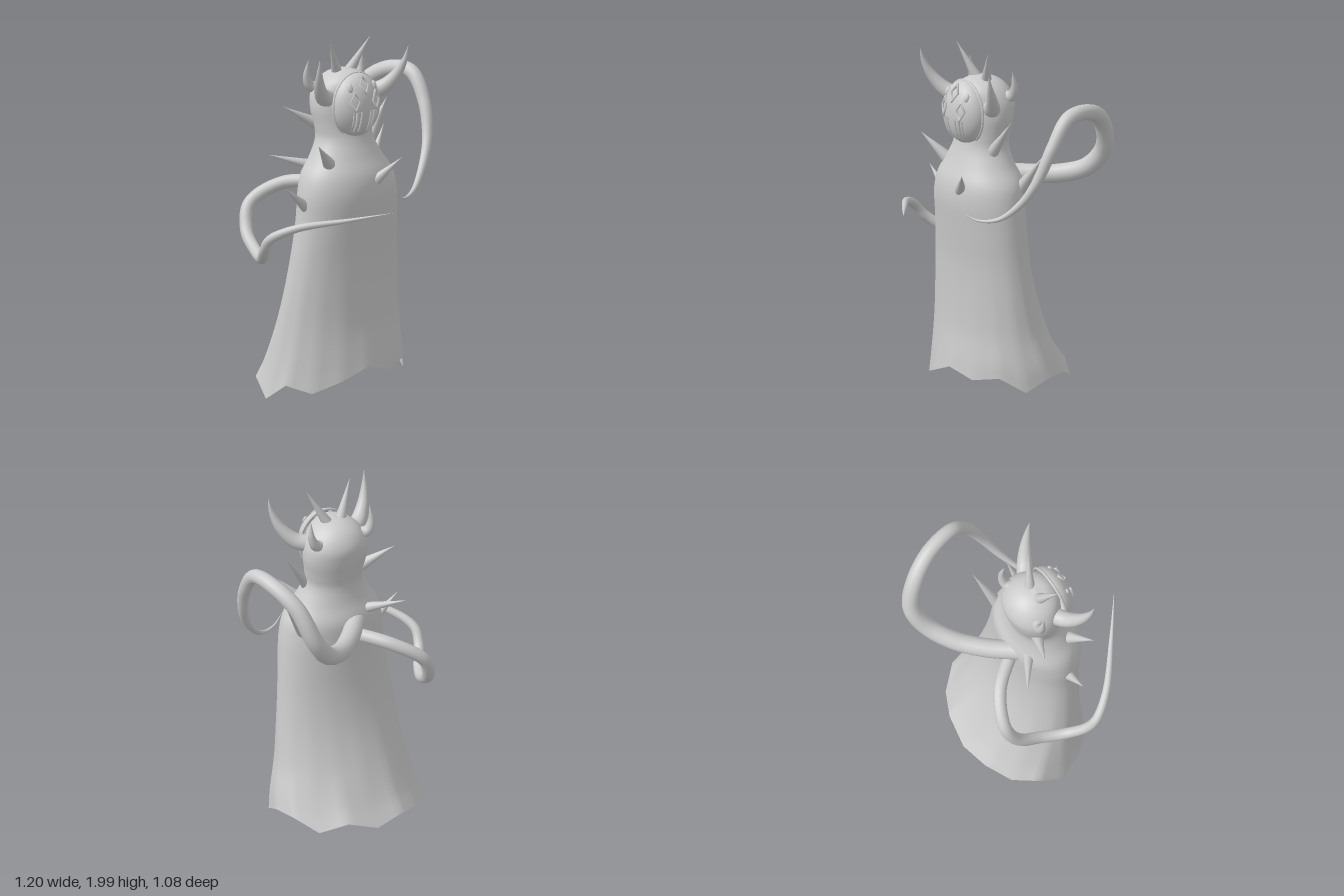
import * as THREE from 'three';

const material = new THREE.MeshStandardMaterial({ color: 0xcccccc, side: THREE.DoubleSide });
const V = (p) => new THREE.Vector3(...p);

function add(parent, geometry, name) {
  const mesh = new THREE.Mesh(geometry, material);
  mesh.name = name;
  parent.add(mesh);
  return mesh;
}

// Tube along a curve whose radius shrinks to a point: r = radius * (1 - t^power)
function taperedTube(points, radius, power, rings, sides = 16) {
  const curve = new THREE.CatmullRomCurve3(points.map(V));
  const geo = new THREE.TubeGeometry(curve, rings, 1, sides);
  const pos = geo.attributes.position, v = new THREE.Vector3();
  for (let i = 0; i <= rings; i++) {
    const t = i / rings, c = curve.getPointAt(t);
    const r = Math.max(radius * (1 - t ** power), 0.0005);
    for (let j = 0; j <= sides; j++) {
      const k = i * (sides + 1) + j;
      v.fromBufferAttribute(pos, k).sub(c).multiplyScalar(r).add(c);
      pos.setXYZ(k, v.x, v.y, v.z);
    }
  }
  return geo;
}

// Robe, neck and head as one skin of elliptical sections: y, left x, right x, back z, front z
const SECTIONS = [
  [0.10, -0.47, 0.415, -0.45, 0.245], [0.20, -0.445, 0.40, -0.385, 0.235],
  [0.40, -0.41, 0.36, -0.29, 0.215], [0.60, -0.385, 0.335, -0.22, 0.21],
  [0.80, -0.36, 0.315, -0.18, 0.215], [1.00, -0.335, 0.30, -0.165, 0.235],
  [1.15, -0.325, 0.285, -0.165, 0.25], [1.25, -0.30, 0.26, -0.163, 0.24],
  [1.35, -0.24, 0.19, -0.13, 0.20], [1.45, -0.195, 0.14, -0.115, 0.165],
  [1.52, -0.20, 0.145, -0.125, 0.155], [1.62, -0.215, 0.16, -0.145, 0.155],
  [1.70, -0.205, 0.15, -0.15, 0.155], [1.77, -0.165, 0.11, -0.115, 0.15],
  [1.815, -0.10, 0.045, -0.05, 0.105], [1.83, -0.03, -0.03, 0.03, 0.03],
];
// Heights of the ragged hem corners, starting at the front and going towards +x
const HEM = [0.19, 0.15, 0.18, 0.10, 0.17, 0.17, 0.10, 0.15, 0.09, 0.12, 0.09, 0.11, 0.01, 0.10, 0.06, 0.12];

function bodyGeometry() {
  const size = new THREE.CatmullRomCurve3(SECTIONS.map(([y, l, r, b, f]) => V([(r - l) / 2, y, (f - b) / 2])));
  const centre = new THREE.CatmullRomCurve3(SECTIONS.map(([y, l, r, b, f]) => V([(r + l) / 2, y, (f + b) / 2])));
  const rows = 75, cols = 64, step = Math.PI / 8, pos = [], index = [];
  for (let i = 0; i <= rows; i++) {
    const s = size.getPoint(i / rows), c = centre.getPoint(i / rows);
    const ragged = Math.max(0, 1 - (s.y - 0.1) / 0.3);
    const faceted = Math.max(0, 1 - (s.y - 0.1) / 0.9);
    for (let j = 0; j < cols; j++) {
      const a = (j / cols) * Math.PI * 2, k = Math.floor(j / 4), f = (j % 4) / 4;
      const hem = THREE.MathUtils.lerp(HEM[k], HEM[(k + 1) % 16], f);
      // sixteen flat sides at the hem, round further up
      const chord = Math.cos(step / 2) / Math.cos(f * step - step / 2);
      const m = THREE.MathUtils.lerp(1, chord, faceted);
      pos.push(c.x + s.x * m * Math.sin(a), s.y + (hem - 0.1) * ragged, c.z + s.z * m * Math.cos(a));
      if (i < rows) {
        const p = i * cols + j, q = i * cols + ((j + 1) % cols);
        index.push(p, q, q + cols, p, q + cols, p + cols);
      }
    }
  }
  const geo = new THREE.BufferGeometry();
  geo.setAttribute('position', new THREE.Float32BufferAttribute(pos, 3));
  geo.setIndex(index);
  geo.computeVertexNormals();
  return geo;
}

// Domed face mask with a rim and raised ornaments
function buildMask() {
  const mask = new THREE.Group();
  mask.name = 'mask';
  mask.position.set(-0.03, 1.64, 0.13);
  const rx = 0.153, ry = 0.178, rz = 0.105;
  const surface = (x, y) => rz * Math.sqrt(Math.max(0, 1 - (x / rx) ** 2 - (y / ry) ** 2));

  const dome = new THREE.SphereGeometry(1, 40, 20, 0, Math.PI * 2, 0, Math.PI / 2);
  dome.rotateX(Math.PI / 2).scale(rx, ry, rz);
  add(mask, dome, 'maskDome');
  const rim = new THREE.TorusGeometry(1, 0.04, 8, 48);
  rim.scale(rx, ry, 0.2);
  add(mask, rim, 'maskRim');

  const ornament = (geo, x, y, name) => {
    const m = add(mask, geo, name);
    m.position.set(x, y, surface(x, y));
    m.rotation.set(-Math.asin(y / ry) * 0.55, Math.asin(x / rx) * 0.6, 0);
  };
  const diamond = () => new THREE.TorusGeometry(0.045, 0.009, 6, 4).scale(0.62, 1.1, 1);
  ornament(diamond(), 0, 0.122, 'browDiamond');
  for (const s of [-1, 1]) {
    ornament(diamond(), s * 0.07, 0.035, 'cheekDiamond');
    ornament(new THREE.SphereGeometry(0.02, 10, 8).scale(0.8, 1.3, 0.6), s * 0.083, 0.11, 'browDrop');
    // ridges hanging down either side of the chin
    for (const [x, r] of [[0.032, 0.008], [0.058, 0.011], [0.078, 0.007]]) {
      const line = [-0.02, -0.06, -0.1, -0.135].map((y) => V([s * x * (1 + y), y, surface(x, y)]));
      add(mask, new THREE.TubeGeometry(new THREE.CatmullRomCurve3(line), 16, r, 8), 'chinRidge');
    }
  }
  return mask;
}

export function createModel() {
  const model = new THREE.Group();
  model.name = 'hornedRobedFigure';
  add(model, bodyGeometry(), 'robeAndHead');
  model.add(buildMask());

  // Horns, mirrored about the head's middle at x = -0.03
  for (const s of [-1, 1]) {
    const side = (pts) => pts.map(([x, y, z]) => [-0.03 + s * x, y, z]);
    add(model, taperedTube(side([[0.12, 1.68, 0.05], [0.2, 1.70, 0.10], [0.262, 1.77, 0.15], [0.296, 1.86, 0.19], [0.307, 1.945, 0.21]]),
      0.05, 1.5, 24), 'largeHorn');
    add(model, taperedTube(side([[0.11, 1.72, -0.04], [0.165, 1.735, -0.06], [0.19, 1.79, -0.06], [0.188, 1.885, -0.045]]),
      0.035, 1.5, 20), 'smallHorn');
    add(model, taperedTube(side([[0.04, 1.8, 0.02], [0.14, 2.0, 0.085]]), 0.032, 1, 8), 'crownSpike');
  }

  // Straight spikes on neck and shoulders: base, tip, radius
  const spikes = [
    [[0.04, 1.22, 0.22], [0.16, 1.35, 0.305], 0.032],
    [[0.21, 1.21, -0.05], [0.36, 1.44, -0.115], 0.038],
    [[0.12, 1.43, 0.06], [0.26, 1.63, 0.04], 0.035],
    [[-0.16, 1.52, -0.05], [-0.335, 1.625, -0.12], 0.035],
    [[-0.20, 1.32, 0.12], [-0.34, 1.455, 0.20], 0.038],
    [[-0.16, 1.28, -0.11], [-0.34, 1.335, -0.24], 0.03],
    [[-0.30, 1.08, 0.05], [-0.455, 1.21, 0.05], 0.034],
  ];
  for (const [base, tip, r] of spikes) add(model, taperedTube([base, tip], r, 1, 8), 'bodySpike');

  // Tentacles growing from the back and curling forwards
  add(model, taperedTube([
    [-0.09, 1.23, -0.11], [0.02, 1.22, -0.24], [0.16, 1.23, -0.37], [0.3, 1.29, -0.46], [0.4, 1.42, -0.495],
    [0.47, 1.61, -0.42], [0.53, 1.70, -0.28], [0.56, 1.70, -0.12], [0.56, 1.55, -0.01], [0.52, 1.36, 0.065],
    [0.44, 1.22, 0.12], [0.33, 1.12, 0.185], [0.22, 1.10, 0.245], [0.13, 1.14, 0.295],
  ], 0.053, 2.5, 120), 'leftTentacle');
  add(model, taperedTube([
    [-0.04, 1.17, -0.13], [-0.19, 1.145, -0.32], [-0.35, 1.04, -0.40], [-0.41, 0.90, -0.35], [-0.445, 0.81, -0.22],
    [-0.50, 0.80, -0.10], [-0.56, 0.87, 0], [-0.57, 0.94, 0.06], [-0.49, 1.01, 0.18], [-0.27, 1.06, 0.37], [-0.07, 1.105, 0.53],
  ], 0.037, 2.5, 110), 'rightTentacle');
  return model;
}
